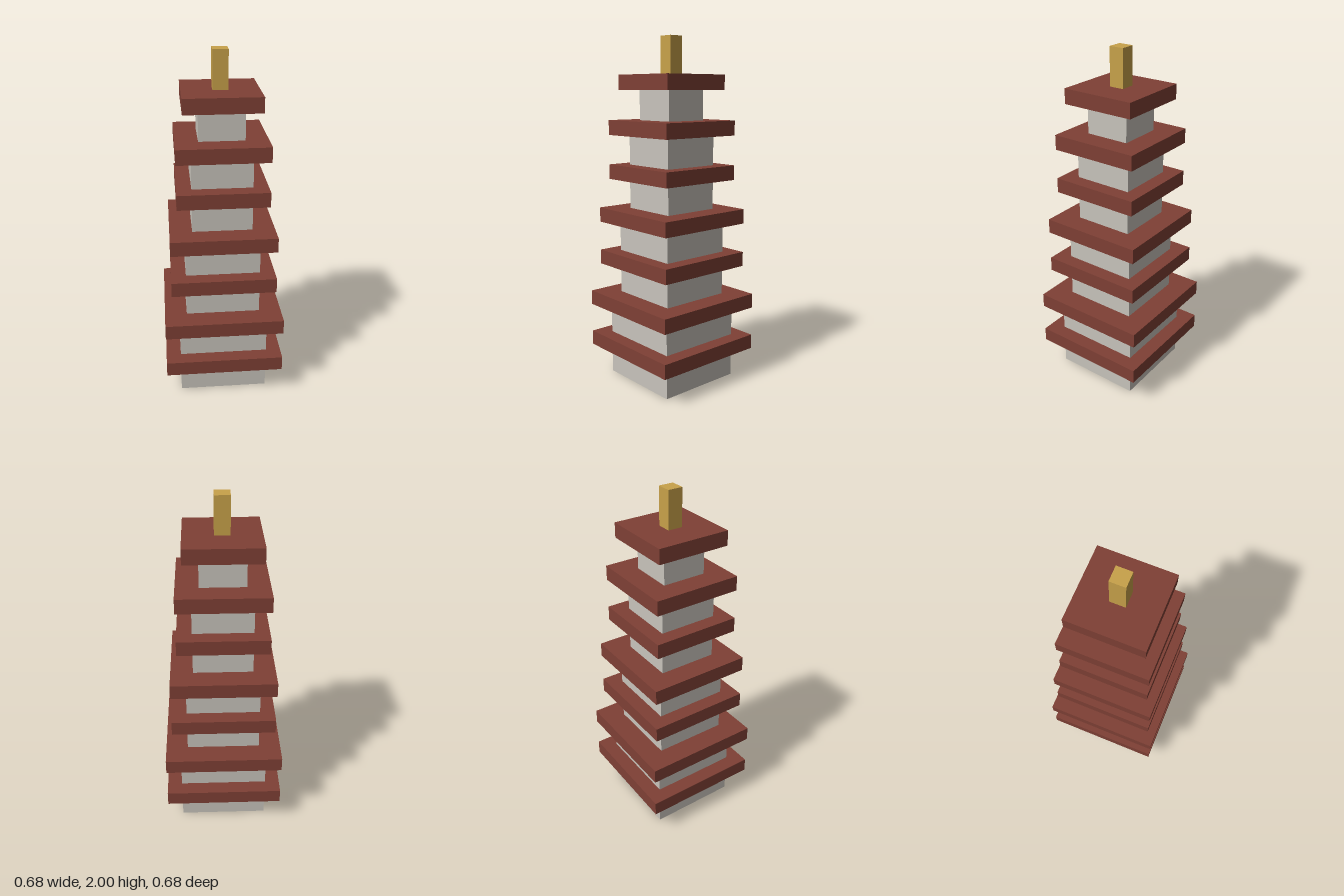
import * as THREE from 'three';

const U = 2 / 47; // one block; the tower is 47 blocks tall

function material(name, color) {
  const m = new THREE.MeshStandardMaterial({ color });
  m.name = name;
  return m;
}

// Square block standing on height y, sizes in blocks
function block(name, width, height, y, mat) {
  const geometry = new THREE.BoxGeometry(width * U, height * U, width * U);
  const mesh = new THREE.Mesh(geometry, mat);
  mesh.name = name;
  mesh.position.y = (y + height / 2) * U;
  return mesh;
}

export function createModel() {
  const stone = material('pale stone', 0xc8c4bc);
  const tile = material('red tile', 0x7f4035);
  const gold = material('gold', 0xc8a24a);

  const tower = new THREE.Group();
  tower.name = 'pagoda';

  // Storeys: a stone wall block under a wider roof slab, stepping in every two floors
  const storeys = 7, wallHeight = 4, roofHeight = 2;
  let y = 0;
  for (let i = 0; i < storeys; i++) {
    const wallWidth = 12 - 2 * Math.floor(i / 2);
    const storey = new THREE.Group();
    storey.name = `storey${i + 1}`;
    storey.add(block('wall', wallWidth, wallHeight, y, stone));
    storey.add(block('roof', wallWidth + 4, roofHeight, y + wallHeight, tile));
    tower.add(storey);
    y += wallHeight + roofHeight;
  }

  // Finial
  tower.add(block('spire', 2, 5, y, gold));
  return tower;
}
